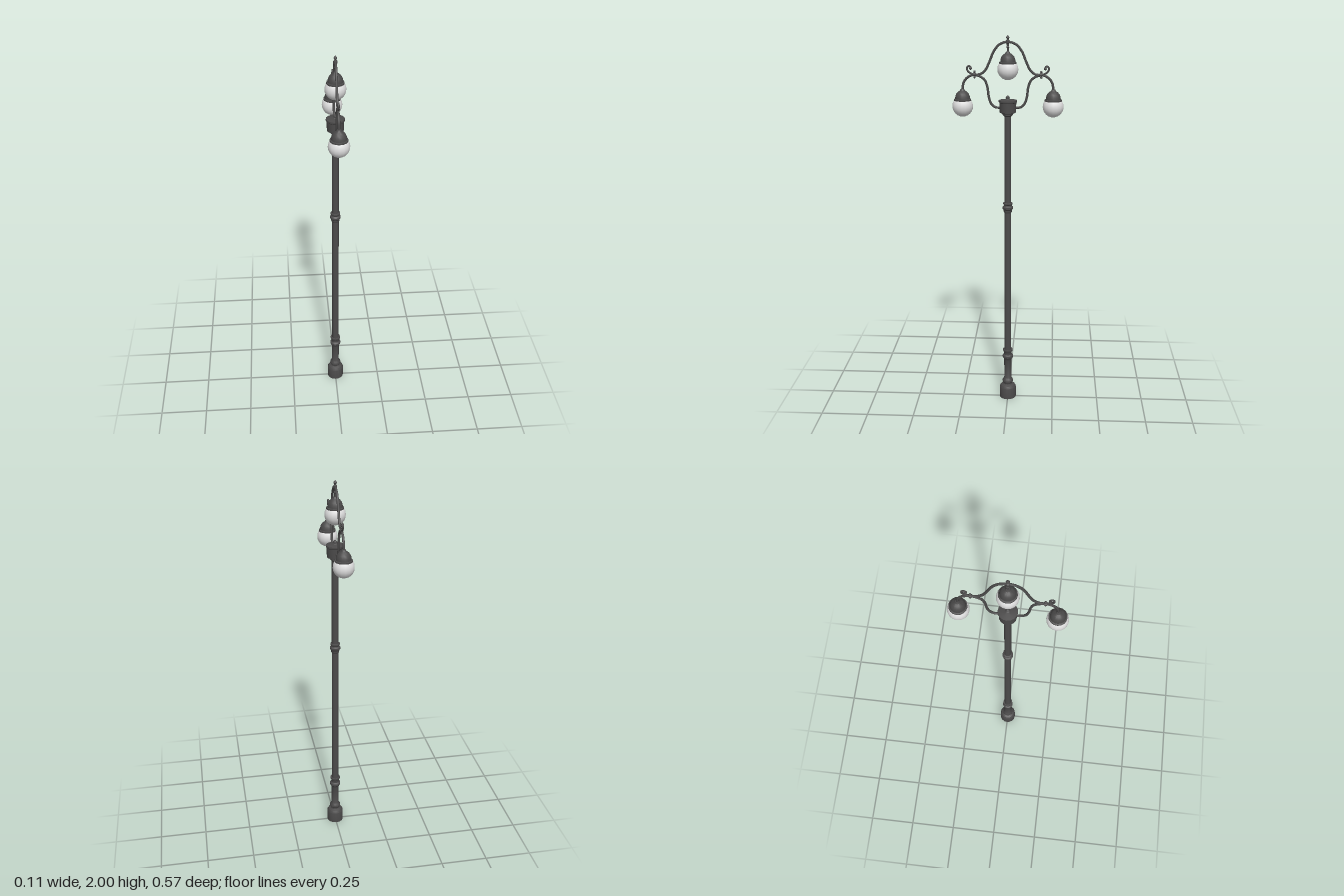
import * as THREE from 'three';
import { toCreasedNormals } from 'three/addons/utils/BufferGeometryUtils.js';

const iron = new THREE.MeshStandardMaterial({ color: 0x4b4a4a });
iron.name = 'dark iron';
const glass = new THREE.MeshStandardMaterial({ color: 0xe0e0e0 });
glass.name = 'frosted glass';

// Turned part: [radius, height] pairs listed from bottom to top
function turned(name, profile, segments = 16) {
  const points = profile.map(([r, y]) => new THREE.Vector2(r, y));
  const geometry = toCreasedNormals(new THREE.LatheGeometry(points, segments), 0.6);
  const mesh = new THREE.Mesh(geometry, iron);
  mesh.name = name;
  return mesh;
}

// Bent rod in the x = 0 plane: [z, y] pairs
function rod(name, path, radius = 0.0062) {
  const curve = new THREE.CatmullRomCurve3(path.map(([z, y]) => new THREE.Vector3(0, y, z)));
  const mesh = new THREE.Mesh(new THREE.TubeGeometry(curve, 32, radius, 8), iron);
  mesh.name = name;
  return mesh;
}

function ball(name, radius, y, z, material = iron) {
  const mesh = new THREE.Mesh(new THREE.SphereGeometry(radius, 16, 12), material);
  mesh.name = name;
  mesh.position.set(0, y, z);
  return mesh;
}

// Globe with a domed cap, placed by the globe's centre
function lamp(name, y, z) {
  const group = new THREE.Group();
  group.name = name;
  group.add(ball('globe', 0.053, 0, 0, glass));
  group.add(turned('cap', [
    [0, 0.028], [0.044, 0.028], [0.044, 0.036], [0.038, 0.038], [0.037, 0.05],
    [0.032, 0.063], [0.024, 0.073], [0.013, 0.08], [0.009, 0.088], [0, 0.089],
  ]));
  group.position.set(0, y, z);
  return group;
}

export function createModel() {
  const model = new THREE.Group();
  model.name = 'streetLamp';

  // Plinth, lower shaft and its mouldings
  model.add(turned('base', [
    [0, 0], [0.045, 0], [0.045, 0.062], [0.038, 0.074], [0.025, 0.08],
    [0.024, 0.086], [0.029, 0.093], [0.029, 0.103], [0.024, 0.112], [0.02, 0.12],
    [0.02, 0.225], [0.024, 0.236], [0.029, 0.243], [0.029, 0.254], [0.021, 0.26],
    [0.021, 0.272], [0.027, 0.283], [0.027, 0.291], [0, 0.292],
  ]));

  // Long shaft with a mid collar
  model.add(turned('pole', [[0.019, 0.285], [0.0175, 1.61]]));
  model.add(turned('poleCollar', [
    [0.018, 1.08], [0.022, 1.088], [0.022, 1.096], [0.028, 1.104], [0.028, 1.113],
    [0.021, 1.119], [0.021, 1.124], [0.025, 1.129], [0.025, 1.135], [0.018, 1.137],
  ]));

  // Hub on top of the shaft
  model.add(turned('hub', [
    [0.018, 1.592], [0.026, 1.6], [0.026, 1.606], [0.042, 1.613], [0.043, 1.662],
    [0.047, 1.666], [0.047, 1.675], [0.03, 1.678], [0.012, 1.681], [0.008, 1.685],
    [0.011, 1.69], [0.006, 1.697], [0, 1.7],
  ]));

  // Arch over the central lamp
  model.add(rod('arch', [
    [-0.17, 1.803], [-0.14, 1.805], [-0.115, 1.823], [-0.092, 1.868], [-0.07, 1.92],
    [-0.04, 1.954], [0, 1.966], [0.04, 1.954], [0.07, 1.92], [0.092, 1.868],
    [0.115, 1.823], [0.14, 1.805], [0.17, 1.803],
  ]));

  // Arm parts repeated front and back
  for (const s of [1, -1]) {
    const side = (points) => points.map(([z, y]) => [z * s, y]);
    const arm = new THREE.Group();
    arm.name = s > 0 ? 'frontArm' : 'backArm';
    arm.add(rod('lowerBracket', side([
      [0.035, 1.637], [0.065, 1.64], [0.085, 1.658], [0.097, 1.695], [0.103, 1.74],
      [0.118, 1.778], [0.145, 1.796], [0.17, 1.803],
    ])));
    arm.add(rod('lampHook', side([
      [0.16, 1.803], [0.185, 1.799], [0.208, 1.785], [0.224, 1.762], [0.23, 1.725],
    ])));
    arm.add(rod('scroll', side([
      [0.16, 1.803], [0.184, 1.808], [0.201, 1.82], [0.206, 1.835],
      [0.199, 1.845], [0.19, 1.843], [0.187, 1.835],
    ]), 0.005));
    arm.add(ball('scrollTip', 0.0075, 1.834, 0.188 * s));
    const clamp = turned('clamp', [
      [0.006, -0.009], [0.0085, -0.006], [0.0085, 0.006], [0.006, 0.009],
    ], 12);
    clamp.rotation.x = Math.PI / 2;
    clamp.position.set(0, 1.804, 0.168 * s);
    arm.add(clamp);
    arm.add(ball('clampStudUpper', 0.006, 1.818, 0.168 * s));
    arm.add(ball('clampStudLower', 0.006, 1.79, 0.168 * s));
    arm.add(lamp('sideLamp', 1.643, 0.23 * s));
    model.add(arm);
  }

  // Central lamp, its hanger and the finial
  model.add(lamp('centreLamp', 1.83, 0));
  model.add(turned('finial', [
    [0.005, 1.91], [0.005, 1.935], [0.008, 1.94], [0.005, 1.945], [0.006, 1.955],
    [0.01, 1.96], [0.01, 1.972], [0.005, 1.976], [0.005, 1.98], [0.009, 1.986],
    [0.006, 1.992], [0, 2],
  ], 12));

  return model;
}
